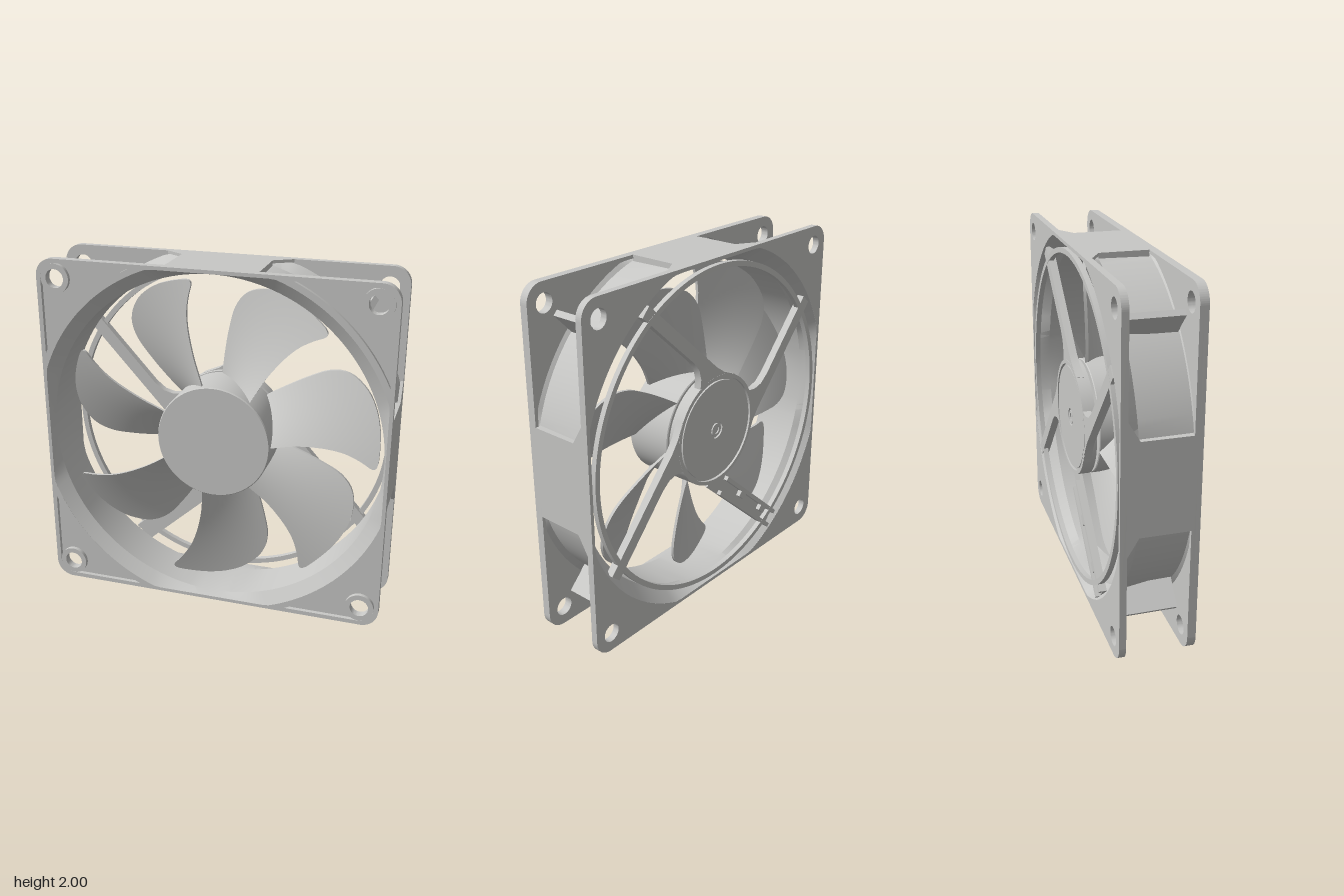
import * as THREE from 'three';
import { toCreasedNormals } from 'three/addons/utils/BufferGeometryUtils.js';

const grey = new THREE.MeshStandardMaterial({ color: 0xc8c8c6 });
grey.name = 'light grey plastic';
const V2 = (x, y) => new THREE.Vector2(x, y);

export function createModel() {
  const model = new THREE.Group();
  model.name = 'coolingFan';
  const fan = new THREE.Group();
  fan.name = 'fanAssembly';
  fan.position.y = 1;
  model.add(fan);

  const add = (name, geometry, angle = 0, parent = fan) => {
    const mesh = new THREE.Mesh(geometry, grey);
    mesh.name = name;
    mesh.rotation.z = angle;
    parent.add(mesh);
    return mesh;
  };
  // Flat shape between two depths
  const slab = (shape, z0, z1) => {
    const g = new THREE.ExtrudeGeometry(shape, { depth: z1 - z0, bevelEnabled: false, curveSegments: 24 });
    g.translate(0, 0, z0);
    return toCreasedNormals(g, 0.5);
  };
  // Revolved profile about the z axis, listed as [radius, z] from back to front on the outside
  const turned = (pts, segments = 72) =>
    new THREE.LatheGeometry(pts.map(([r, z]) => V2(r, z)), segments).rotateX(Math.PI / 2);
  const box = (x0, x1, y0, y1, z0, z1) =>
    new THREE.BoxGeometry(x1 - x0, y1 - y0, z1 - z0)
      .translate((x0 + x1) / 2, (y0 + y1) / 2, (z0 + z1) / 2);

  // ---- Flanges: rounded squares with a clipped round opening and screw holes
  const HOLE = 0.89;
  const circlePath = (x, y, r) => new THREE.Path().absarc(x, y, r, 0, Math.PI * 2, true);
  const flangeShape = (holeRadius) => {
    const s = new THREE.Shape(), c = 0.9;
    for (let i = 0; i < 4; i++) {
      const a = i * Math.PI / 2;
      const sx = i === 0 || i === 3 ? c : -c, sy = i < 2 ? c : -c;
      s.absarc(sx, sy, 0.1, a, a + Math.PI / 2, false);
    }
    const ring = [];
    for (let i = 0; i < 160; i++) {
      const a = -i / 160 * Math.PI * 2, cx = Math.cos(a), cy = Math.sin(a);
      const r = Math.min(1.04, 0.98 / Math.max(Math.abs(cx), Math.abs(cy)));
      ring.push(V2(cx * r, cy * r));
    }
    s.holes.push(new THREE.Path(ring));
    for (const x of [-HOLE, HOLE]) for (const y of [-HOLE, HOLE]) {
      if (holeRadius) s.holes.push(circlePath(x, y, holeRadius));
    }
    return s;
  };
  // Front lip carries shallow corner pockets
  const lip = flangeShape(0);
  const edge = 0.975, start = Math.acos(edge / 1.075);
  for (let i = 0; i < 4; i++) {
    const pts = [];
    for (let k = 0; k <= 16; k++) {
      const a = start + (Math.PI / 2 - 2 * start) * k / 16;
      pts.push(V2(1.075 * Math.cos(a), 1.075 * Math.sin(a)));
    }
    for (let k = 0; k <= 6; k++) {
      const a = Math.PI / 2 * (1 - k / 6);
      pts.push(V2(0.885 + 0.09 * Math.cos(a), 0.885 + 0.09 * Math.sin(a)));
    }
    lip.holes.push(new THREE.Path(pts.map(p => p.rotateAround(V2(0, 0), i * Math.PI / 2))));
  }
  add('backFlange', slab(flangeShape(0.053), -0.21, -0.172));
  add('frontFlange', slab(flangeShape(0.053), 0.163, 0.187));
  add('frontLip', slab(lip, 0.187, 0.21));
  const bossShape = new THREE.Shape().absarc(HOLE, HOLE, 0.083, 0, Math.PI * 2, false);
  bossShape.holes.push(circlePath(HOLE, HOLE, 0.053));

  // ---- Duct: thin round wall flaring at both ends, clipped flat by the square sides
  const ductProfile = [
    [1.066, -0.2, 0.996], [1.005, -0.11, 0.996], [1.0, 0.17, 0.996], [1.04, 0.209, 0.98],
    [0.967, 0.16, 0.98], [0.967, -0.11, 0.98], [1.04, -0.209, 0.98], [1.066, -0.2, 0.996],
  ];
  const duct = turned(ductProfile, 160);
  const dp = duct.attributes.position;
  for (let i = 0; i < dp.count; i++) {
    const x = dp.getX(i), y = dp.getY(i);
    const k = Math.min(1, ductProfile[i % ductProfile.length][2] / Math.max(Math.abs(x), Math.abs(y)));
    dp.setXY(i, x * k, y * k);
  }
  add('ductWall', toCreasedNormals(duct, 0.35));

  // Flat side pads that widen towards the back, corner ribs and screw bosses
  const pad = new THREE.Shape();
  const padA = Math.acos(0.26 / 0.985);
  pad.moveTo(0.26, 1);
  pad.lineTo(-0.26, 1);
  pad.absarc(0, 0, 0.985, Math.PI - padA, padA, true);
  const padGeo = slab(pad, -0.11, 0.165);
  const wedge = new THREE.Shape([V2(-0.26, 0.11), V2(-0.37, 0.175), V2(0.37, 0.175), V2(0.26, 0.11)]);
  const wedgeGeo = slab(wedge, 0.983, 1).rotateX(-Math.PI / 2);
  // Rib foot slants outwards to follow the rear flare
  const ribGeo = box(0.985, 1.165, -0.0175, 0.0175, -0.175, 0.165);
  const rp = ribGeo.attributes.position;
  for (let i = 0; i < rp.count; i++) {
    if (rp.getX(i) < 1 && rp.getZ(i) < 0) rp.setX(i, 1.03);
  }
  const bossGeo = slab(bossShape, 0.185, 0.21);
  for (let i = 0; i < 4; i++) {
    const a = i * Math.PI / 2;
    add('sidePad', padGeo, a);
    add('sidePadFlare', wedgeGeo, a);
    add('cornerRib', ribGeo, a + Math.PI / 4);
    add('screwBoss', bossGeo, a);
  }

  // ---- Rear support: guard ring, motor plate and four offset struts
  add('guardRing', toCreasedNormals(turned(
    [[0.93, -0.21], [0.96, -0.21], [0.96, -0.18], [0.93, -0.18], [0.93, -0.21]], 120), 0.5));
  add('motorPlate', toCreasedNormals(turned([
    [0, -0.198], [0.022, -0.198], [0.022, -0.206], [0.038, -0.206], [0.038, -0.196], [0.05, -0.196],
    [0.05, -0.207], [0.295, -0.207], [0.295, -0.195], [0.308, -0.195], [0.308, -0.21],
    [0.33, -0.21], [0.33, -0.14], [0, -0.14]]), 0.5));

  // Strut root follows the plate rim, with a fillet on the inner side
  const strutShape = new THREE.Shape([
    [0.3, 0.11], [0.34, 0.165], [0.39, 0.198], [0.46, 0.21], [0.985, 0.21], [0.985, 0.28],
    [0.26, 0.28], [0.18, 0.29], [0.08, 0.323], [0.08, 0.31], [0.16, 0.277], [0.25, 0.2],
  ].map(([x, y]) => V2(x, y)));
  const strutGeo = slab(strutShape, -0.209, -0.165);
  const strutAngle = THREE.MathUtils.degToRad(132);
  for (const i of [0, 2, 3]) add('strut', strutGeo, strutAngle + i * Math.PI / 2);

  // One strut is an open channel for the cable
  const channel = new THREE.Group();
  channel.name = 'cableStrut';
  channel.rotation.z = strutAngle + Math.PI / 2;
  fan.add(channel);
  add('channelFloor', box(0.2, 0.98, 0.18, 0.3, -0.183, -0.165), 0, channel);
  for (const y of [0.18, 0.275]) add('channelRail', box(0.32, 0.985, y, y + 0.025, -0.209, -0.165), 0, channel);
  for (const x of [0.52, 0.8]) add('cableClip', box(x, x + 0.06, 0.2, 0.24, -0.209, -0.17), 0, channel);

  // ---- Rotor: hub and seven swept blades
  const rotor = new THREE.Group();
  rotor.name = 'rotor';
  fan.add(rotor);
  add('hub', toCreasedNormals(turned([
    [0, -0.125], [0.325, -0.125], [0.33, -0.12], [0.33, 0.148], [0.325, 0.155], [0, 0.155]]), 0.5), 0, rotor);

  // Radius, leading angle and trailing angle in degrees along the blade
  const sweep = new THREE.CatmullRomCurve3([
    [0.3, -1, 43], [0.45, 2, 39.5], [0.6, 2, 36.8], [0.73, 0.5, 34.3], [0.83, -2, 29.7],
    [0.895, -4, 22], [0.92, -3.6, 15], [0.928, -2, 9],
  ].map(p => new THREE.Vector3(...p)), false, 'catmullrom', 0.5);
  const blade = new THREE.BoxGeometry(1, 1, 1, 14, 28, 1);
  const bp = blade.attributes.position;
  for (let i = 0; i < bp.count; i++) {
    const s = sweep.getPoint(bp.getY(i) + 0.5);
    const deg = THREE.MathUtils.lerp(s.y, s.z, bp.getX(i) + 0.5);
    const a = THREE.MathUtils.degToRad(deg);
    // Blade leans back slightly towards the tip
    const t = (s.x - 0.3) / 0.63;
    const z = 0.12 - 0.05 * t - 0.0055 * deg + bp.getZ(i) * 0.018;
    bp.setXYZ(i, s.x * Math.cos(a), s.x * Math.sin(a), z);
  }
  // Mapping width to angle mirrors the box, so flip its faces
  const idx = blade.index;
  for (let i = 0; i < idx.count; i += 3) {
    const t = idx.getX(i);
    idx.setX(i, idx.getX(i + 2));
    idx.setX(i + 2, t);
  }
  blade.computeVertexNormals();
  for (let i = 0; i < 7; i++) add('blade', blade, i * Math.PI * 2 / 7, rotor);

  return model;
}
